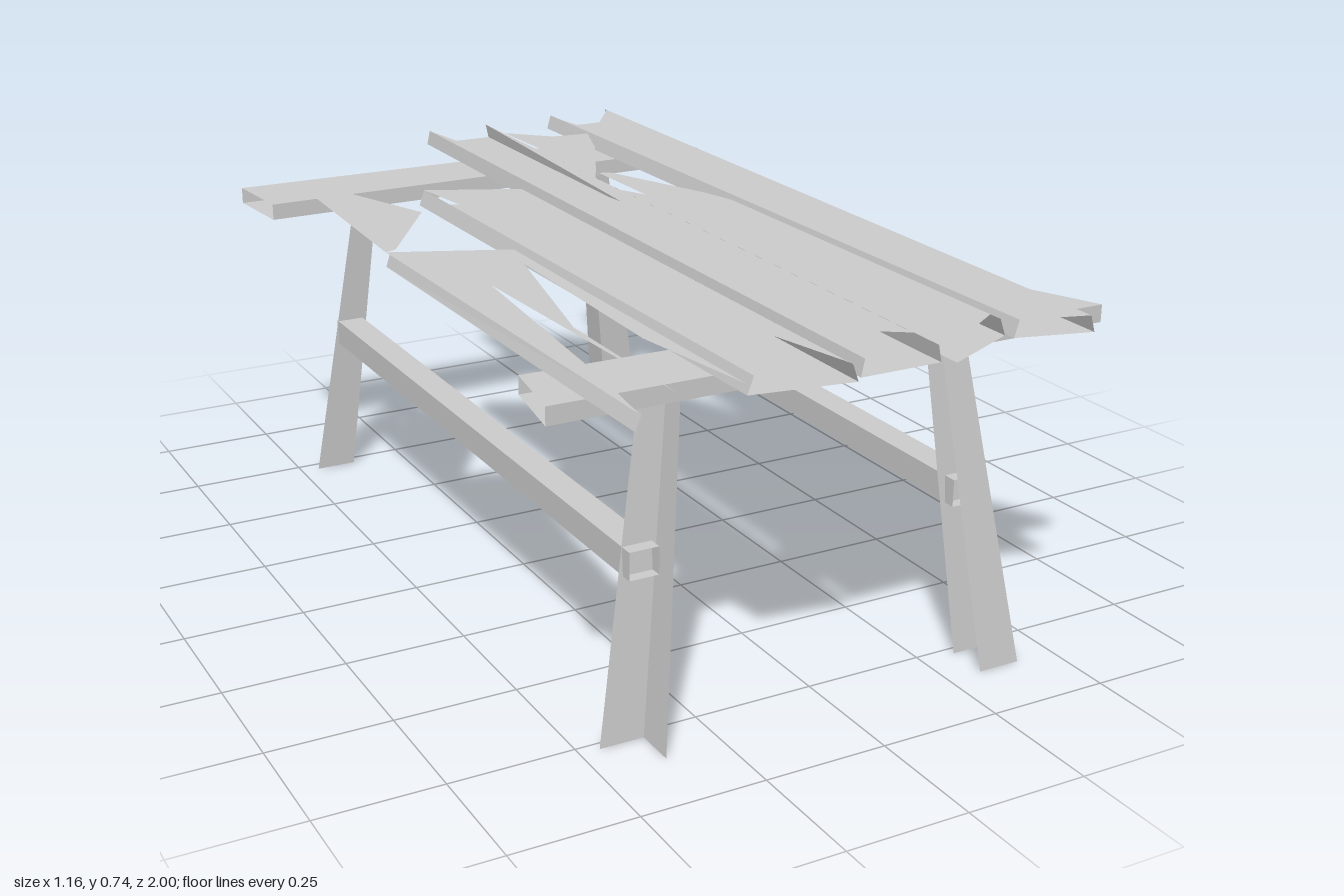
import * as THREE from 'three';
import { mergeGeometries } from 'three/addons/utils/BufferGeometryUtils.js';

const material = new THREE.MeshStandardMaterial({
  color: 0xcccccc, flatShading: true, side: THREE.DoubleSide,
});

// Flat four-cornered face
function quad(a, b, c, d) {
  const g = new THREE.BufferGeometry();
  g.setAttribute('position', new THREE.Float32BufferAttribute([a, b, c, a, c, d].flat(), 3));
  g.computeVertexNormals();
  return g;
}

// Horizontal sheet from an outline of [x, z] points
function sheet(outline, y) {
  const g = new THREE.ShapeGeometry(new THREE.Shape(outline.map(p => new THREE.Vector2(...p))));
  g.rotateX(Math.PI / 2).translate(0, y, 0);
  g.deleteAttribute('uv');
  return g.toNonIndexed();
}

function mesh(name, parts) {
  const m = new THREE.Mesh(mergeGeometries(parts), material);
  m.name = name;
  return m;
}

// Hollow board: bottom sheet, top sheet (may be more broken) and walls on the
// listed edges; the top is drawn in by lean on both long sides
function board(name, y0, y1, outline, edges, top = outline, lean = 0) {
  const middle = outline.reduce((sum, p) => sum + p[0], 0) / outline.length;
  const inset = ([x, z]) => [x + lean * Math.sign(middle - x), z];
  const walls = edges.map(i => {
    const a = outline[i], b = outline[(i + 1) % outline.length];
    const [c, d] = [inset(b), inset(a)];
    return quad([a[0], y0, a[1]], [b[0], y0, b[1]], [c[0], y1, c[1]], [d[0], y1, d[1]]);
  });
  return mesh(name, [sheet(outline, y0), sheet(top.map(inset), y1), ...walls]);
}

// Leg strips from the floor to the beam: across (facing z) and along (facing x)
const legTop = 0.665;
const across = ([x0, x1, x2, x3], [zb, zt]) =>
  quad([x0, 0, zb], [x1, 0, zb], [x3, legTop, zt], [x2, legTop, zt]);
const along = ([xb, xt], [zb0, zt0], [zb1, zt1]) =>
  quad([xb, 0, zb0], [xb, 0, zb1], [xt, legTop, zt1], [xt, legTop, zt0]);

export function createModel() {
  const model = new THREE.Group();
  model.name = 'brokenTable';

  // Cross beams under the top, open at the ends
  model.add(
    board('frontBeam', 0.665, 0.7, [[-0.585, 0.825], [0.58, 0.825], [0.52, 0.683], [-0.56, 0.668]], [0, 2]),
    board('rearBeam', 0.665, 0.7, [[-0.585, -0.78], [0.51, -0.78], [0.54, -0.635], [-0.57, -0.605]], [0, 2]),
  );

  // Splayed open legs; z is given as [floor, top]
  const left = [0.325, 0.415, 0.25, 0.305], right = [-0.46, -0.37, -0.355, -0.3];
  const frontOuter = [0.855, 0.77], frontInner = [0.77, 0.72];
  const rearOuter = [-0.805, -0.72], rearInner = [-0.72, -0.67];
  model.add(
    mesh('frontLeftLeg', [across(left, frontOuter), across(left, frontInner)]),
    mesh('frontRightLeg', [across(right, frontInner), along([-0.37, -0.3], frontInner, frontOuter)]),
    mesh('rearLeftLeg', [across(left, rearOuter), across(left, rearInner), along([0.325, 0.25], rearOuter, rearInner)]),
    mesh('rearRightLeg', [across([-0.41, -0.365, -0.33, -0.3], [-0.82, -0.725]), across(right, rearInner)]),
  );

  // Long stretchers between front and rear legs
  for (const [name, x] of [['leftStretcher', 0.33], ['rightStretcher', -0.37]]) {
    const a = x - 0.03, b = x + 0.03;
    model.add(board(name, 0.32, 0.375, [[a, -0.7], [b, -0.7], [b, 0.77], [a, 0.77]], [1, 3]));
  }

  // Table planks, some snapped and splintered
  const y0 = 0.702, y1 = 0.735;
  model.add(
    board('leftPlank', y0, y1,
      [[0.3, -1], [0.478, -1], [0.455, 0.95], [0.305, 0.91]], [1, 3],
      [[0.3, -0.95], [0.32, -0.79], [0.478, -0.99], [0.455, 0.95], [0.305, 0.91]], 0.01),
    board('snappedPlankFront', y0, y1,
      [[0.13, -0.4], [0.155, -0.39], [0.28, -0.13], [0.3, -0.05], [0.3, 0.89], [0.135, 0.97]], [3],
      [[0.13, -0.4], [0.155, -0.39], [0.28, -0.13], [0.3, -0.05], [0.3, 0.86], [0.14, 0.95]], 0.012),
    board('snappedPlankRear', y0, y1,
      [[0.12, -0.87], [0.21, -0.78], [0.3, -0.77], [0.25, -0.63], [0.135, -0.4]], []),
    board('middlePlank', y0, y1,
      [[-0.042, -0.98], [0.125, -0.98], [0.112, 0.955], [-0.055, 0.955]], [1, 3],
      [[-0.042, -0.98], [0.075, -0.15], [0.125, -0.97], [0.112, 0.88], [-0.035, 0.79], [-0.055, 0.955]], 0.007),
    board('shortPlank', y0, y1,
      [[-0.285, -0.44], [-0.065, -0.35], [-0.07, 0.97], [-0.27, 0.94]], [1, 3],
      [[-0.285, -0.44], [-0.065, -0.35], [-0.07, 0.96], [-0.255, 0.23], [-0.2, 0.19]], 0.012),
  );

  // Splintered plank on the right, thin and open
  model.add(
    mesh('splinteredPlankRear', [sheet(
      [[-0.5, -0.6], [-0.475, -0.64], [-0.345, -0.28], [-0.5, -0.04], [-0.525, -0.03]], 0.732)]),
    mesh('splinteredPlankFront', [
      sheet([[-0.525, -0.03], [-0.29, 0.07], [-0.29, 0.35], [-0.285, 0.96], [-0.325, 0.68], [-0.315, 0.17],
        [-0.405, 0.57], [-0.405, 0.95], [-0.43, 0.27], [-0.48, 0.82], [-0.505, 1]], 0.732),
      quad([-0.525, y0, -0.03], [-0.512, y0, 1], [-0.5, 0.732, 1], [-0.515, 0.732, -0.03]),
    ]),
  );
  return model;
}
